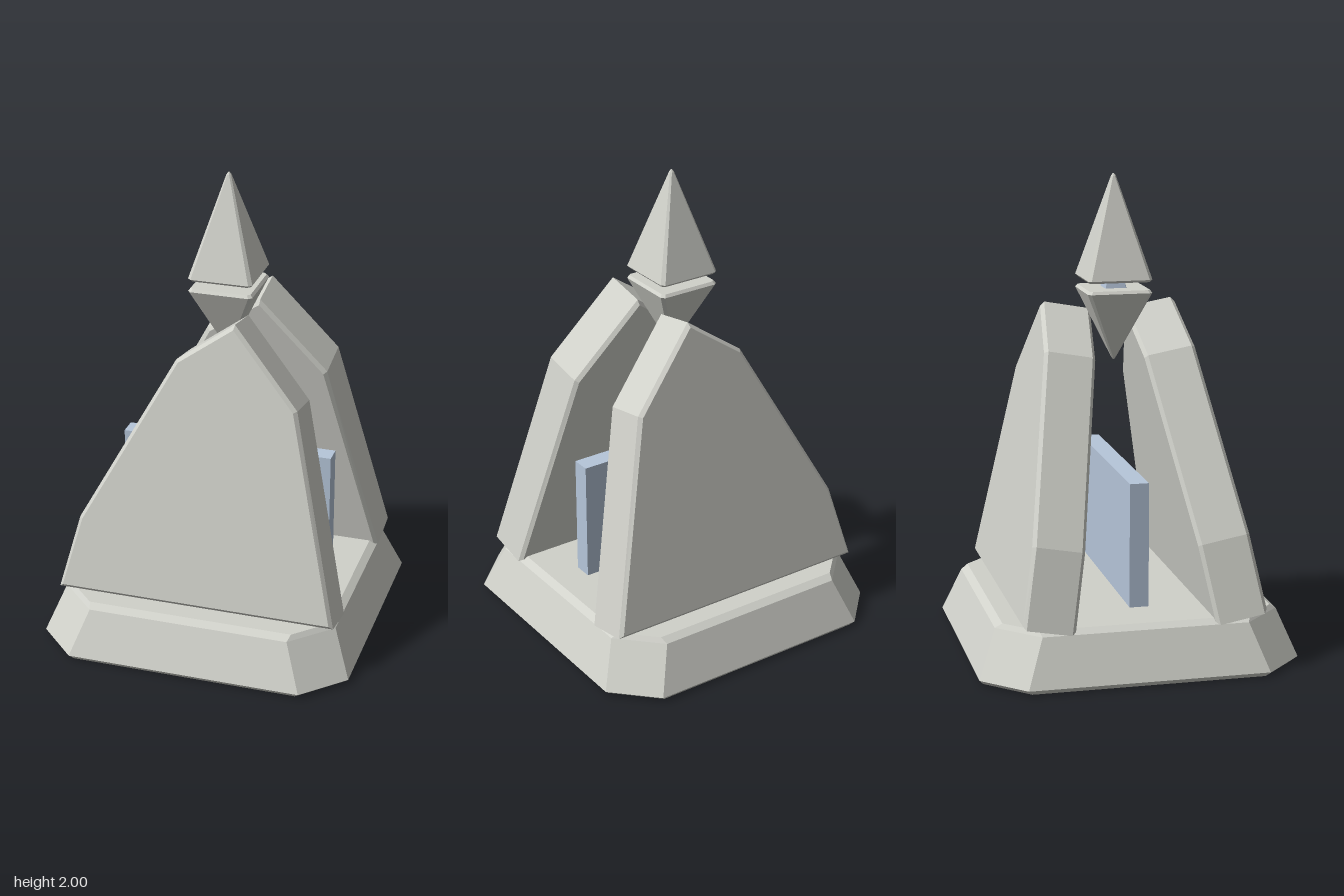
import * as THREE from 'three';

const stone = new THREE.MeshStandardMaterial({ color: 0xd0d1ca });
stone.name = 'pale stone';
stone.flatShading = true;
const glass = new THREE.MeshStandardMaterial({ color: 0xb6c6da });
glass.name = 'pale blue';
glass.flatShading = true;

// Square ring with cut corners: half width h, corner cut
function ring(y, h, cut) {
  const c = h - cut;
  return [[h, -c], [h, c], [c, h], [-c, h], [-h, c], [-h, -c], [-c, -h], [c, -h]]
    .map(([x, z]) => [x, y, z]);
}

// Closed solid through rings listed from bottom to top as [y, half, cut]
function loft(levels) {
  const rings = levels.map((l) => ring(...l));
  const last = rings.length - 1;
  const pos = [];
  const tri = (...pts) => pts.forEach((p) => pos.push(...p));
  for (let j = 0; j < 8; j++) {
    const k = (j + 1) % 8;
    for (let i = 0; i < last; i++) {
      const lo = rings[i], up = rings[i + 1];
      tri(lo[j], up[j], lo[k]);
      tri(up[j], up[k], lo[k]);
    }
    tri([0, levels[0][0], 0], rings[0][j], rings[0][k]);
    tri([0, levels[last][0], 0], rings[last][k], rings[last][j]);
  }
  const g = new THREE.BufferGeometry();
  g.setAttribute('position', new THREE.Float32BufferAttribute(pos, 3));
  g.computeVertexNormals();
  return g;
}

// Leaning wall slab with bevelled edges; flip mirrors its outline
function slabGeometry(flip) {
  const outline = [[-0.6, 0], [0.6, 0], [0.39, 0.905], [0.11, 1.23], [-0.13, 1.057], [-0.52, 0.325]];
  const shape = new THREE.Shape(outline.map(([x, y]) => new THREE.Vector2(x * flip, y)));
  const b = 0.015;
  const g = new THREE.ExtrudeGeometry(shape, {
    depth: 0.22 - 2 * b, bevelThickness: b, bevelSize: b, bevelOffset: -b, bevelSegments: 1,
  });
  return g.translate(0, 0, b - 0.22).rotateX(-0.181).translate(0, 0.25, 0.51);
}

export function createModel() {
  const model = new THREE.Group();
  model.name = 'monument';
  const add = (name, geometry, material) => {
    const m = new THREE.Mesh(geometry, material);
    m.name = name;
    model.add(m);
    return m;
  };

  // Sloping plinth with cut corners
  add('base', loft([[0, 0.655, 0.17], [0.02, 0.672, 0.17], [0.215, 0.595, 0.165], [0.235, 0.565, 0.125]]), stone);

  // Two walls leaning towards each other
  add('frontWall', slabGeometry(1), stone);
  add('backWall', slabGeometry(-1).rotateY(Math.PI), stone);

  // Upright panel between the walls
  add('innerPanel', new THREE.BoxGeometry(0.92, 0.52, 0.08).translate(0, 0.53, 0), glass);

  // Split spire: inverted lower point, core, upper point
  add('lowerSpire', loft([[1.22, 0.003, 0.001], [1.23, 0.01, 0.006], [1.515, 0.137, 0.014], [1.527, 0.128, 0.012]]), stone);
  add('spireCore', loft([[1.52, 0.047, 0.002], [1.57, 0.036, 0.002]]), glass);
  add('upperSpire', loft([[1.56, 0.128, 0.012], [1.57, 0.137, 0.014], [1.99, 0.01, 0.006], [2, 0.003, 0.001]]), stone);

  return model;
}
